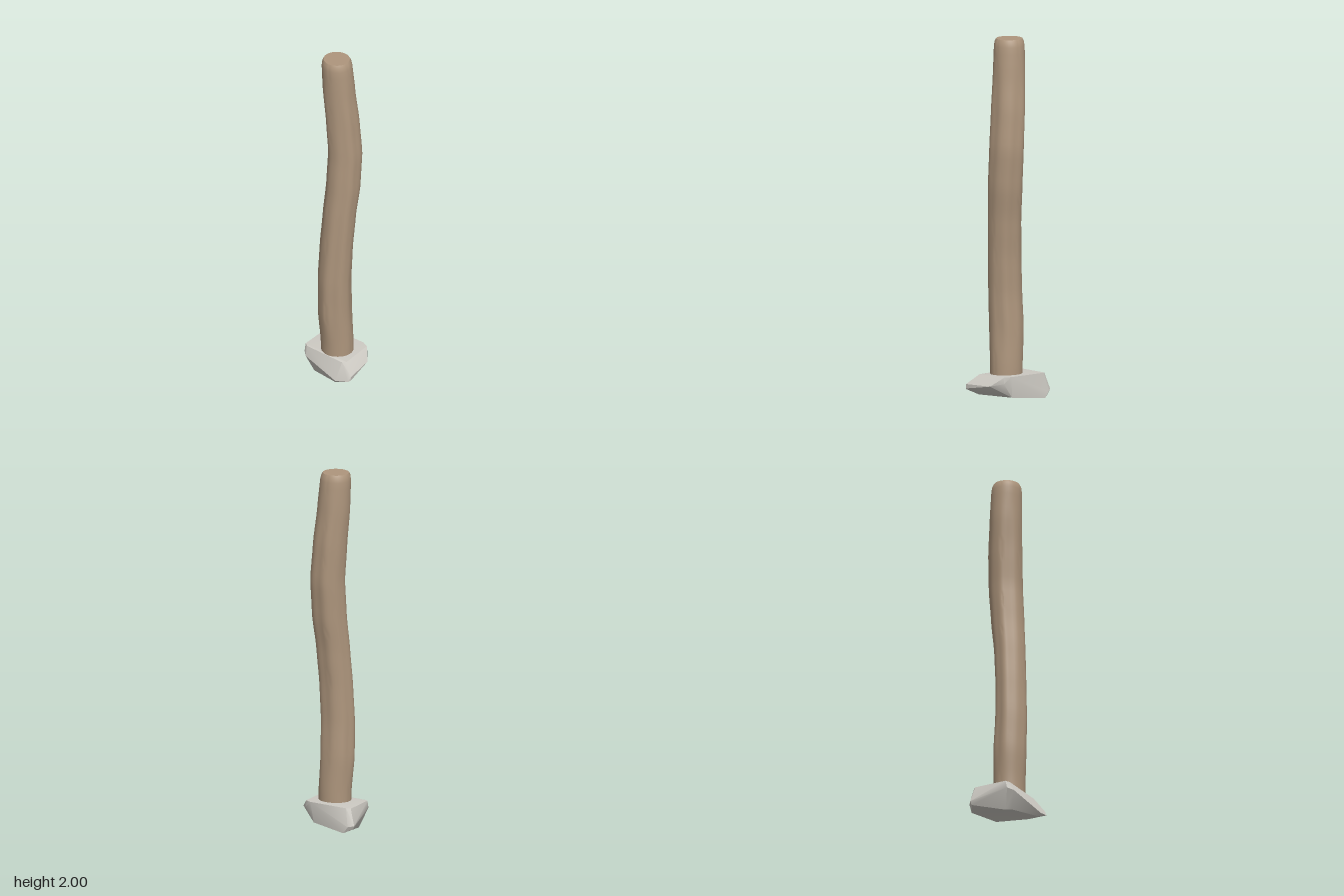
import * as THREE from 'three';
import { mergeVertices, toCreasedNormals } from 'three/addons/utils/BufferGeometryUtils.js';
import { ConvexGeometry } from 'three/addons/geometries/ConvexGeometry.js';

const wood = new THREE.MeshStandardMaterial({ color: 0xae967d });
const stone = new THREE.MeshStandardMaterial({ color: 0xcdcac3 });

// Outline of the crooked trunk: y, min x, max x, min z, max z
const outline = [
  [0.1, -0.085, 0.095, -0.08, 0.09],
  [0.2, -0.087, 0.095, -0.08, 0.092],
  [0.4, -0.102, 0.09, -0.075, 0.107],
  [0.6, -0.1, 0.092, -0.064, 0.109],
  [0.8, -0.092, 0.1, -0.066, 0.1],
  [1.0, -0.08, 0.111, -0.08, 0.09],
  [1.2, -0.069, 0.126, -0.106, 0.076],
  [1.4, -0.065, 0.127, -0.122, 0.066],
  [1.6, -0.077, 0.111, -0.118, 0.07],
  [1.8, -0.09, 0.091, -0.101, 0.075],
  [2.0, -0.091, 0.075, -0.086, 0.077],
];

function outlineAt(y) {
  let i = 0;
  while (i < outline.length - 2 && y > outline[i + 1][0]) i++;
  const a = outline[i], b = outline[i + 1];
  const t = THREE.MathUtils.smoothstep(y, a[0], b[0]) * 0.3 + ((y - a[0]) / (b[0] - a[0])) * 0.7;
  return a.map((v, k) => THREE.MathUtils.lerp(v, b[k], t));
}

function makeTrunk() {
  // Unit-radius profile with a bevelled top, then bent and grooved
  const profile = [new THREE.Vector2(0, 0.1)];
  for (let i = 0; i <= 46; i++) profile.push(new THREE.Vector2(1, 0.1 + (1.86 * i) / 46));
  profile.push(new THREE.Vector2(0.96, 1.985), new THREE.Vector2(0.87, 2), new THREE.Vector2(0, 2));
  let geo = new THREE.LatheGeometry(profile, 40);
  const pos = geo.attributes.position;
  for (let i = 0; i < pos.count; i++) {
    const x = pos.getX(i), y = pos.getY(i), z = pos.getZ(i);
    const [, x0, x1, z0, z1] = outlineAt(y);
    const angle = Math.atan2(x, z);
    const fade = THREE.MathUtils.smoothstep(y, 0.15, 0.5) * (1 - THREE.MathUtils.smoothstep(y, 1.6, 1.97));
    const ridge = 0.03 * Math.cos(5 * angle + 0.8 * y) + 0.02 * Math.cos(8 * angle - 1.5 * y) - 0.02;
    const r = 1 + ridge * fade;
    pos.setXYZ(i, (x0 + x1) / 2 + (x * r * (x1 - x0)) / 2, y, (z0 + z1) / 2 + (z * r * (z1 - z0)) / 2);
  }
  geo.deleteAttribute('uv');
  geo.deleteAttribute('normal');
  geo = toCreasedNormals(mergeVertices(geo, 1e-5), 0.7);
  const mesh = new THREE.Mesh(geo, wood);
  mesh.name = 'trunk';
  return mesh;
}

function makeBase() {
  // Corners of a rough, skewed boulder
  const corners = [
    // top face
    [-0.165, 0.152, -0.115], [-0.145, 0.155, -0.132], [0.085, 0.157, -0.122], [0.122, 0.156, -0.104],
    [0.13, 0.152, 0.085], [0.11, 0.149, 0.1], [-0.14, 0.15, 0.085], [-0.163, 0.152, 0.07],
    // sides
    [-0.195, 0.06, -0.13], [-0.165, 0.055, -0.15], [-0.163, 0.11, 0.08], [-0.135, 0.1, 0.107],
    [0.192, 0.1, 0.125], [0.19, 0.075, 0.128], [0.18, 0.07, 0.14], [0.172, 0.105, -0.045],
    [0.1, 0.05, 0.148], [0.125, 0.12, -0.105],
    // underside
    [-0.185, 0.04, -0.125], [-0.138, 0.018, -0.151], [-0.12, 0, 0.05], [-0.1, 0.005, 0.075],
    [0.09, 0.03, 0.132], [0.12, 0.04, 0.06], [0.07, 0.04, -0.11],
  ].map((c) => new THREE.Vector3(...c));
  const geo = toCreasedNormals(new ConvexGeometry(corners), 0.6);
  const mesh = new THREE.Mesh(geo, stone);
  mesh.name = 'stoneBase';
  return mesh;
}

export function createModel() {
  const model = new THREE.Group();
  model.name = 'woodenPost';
  model.add(makeTrunk(), makeBase());
  return model;
}
